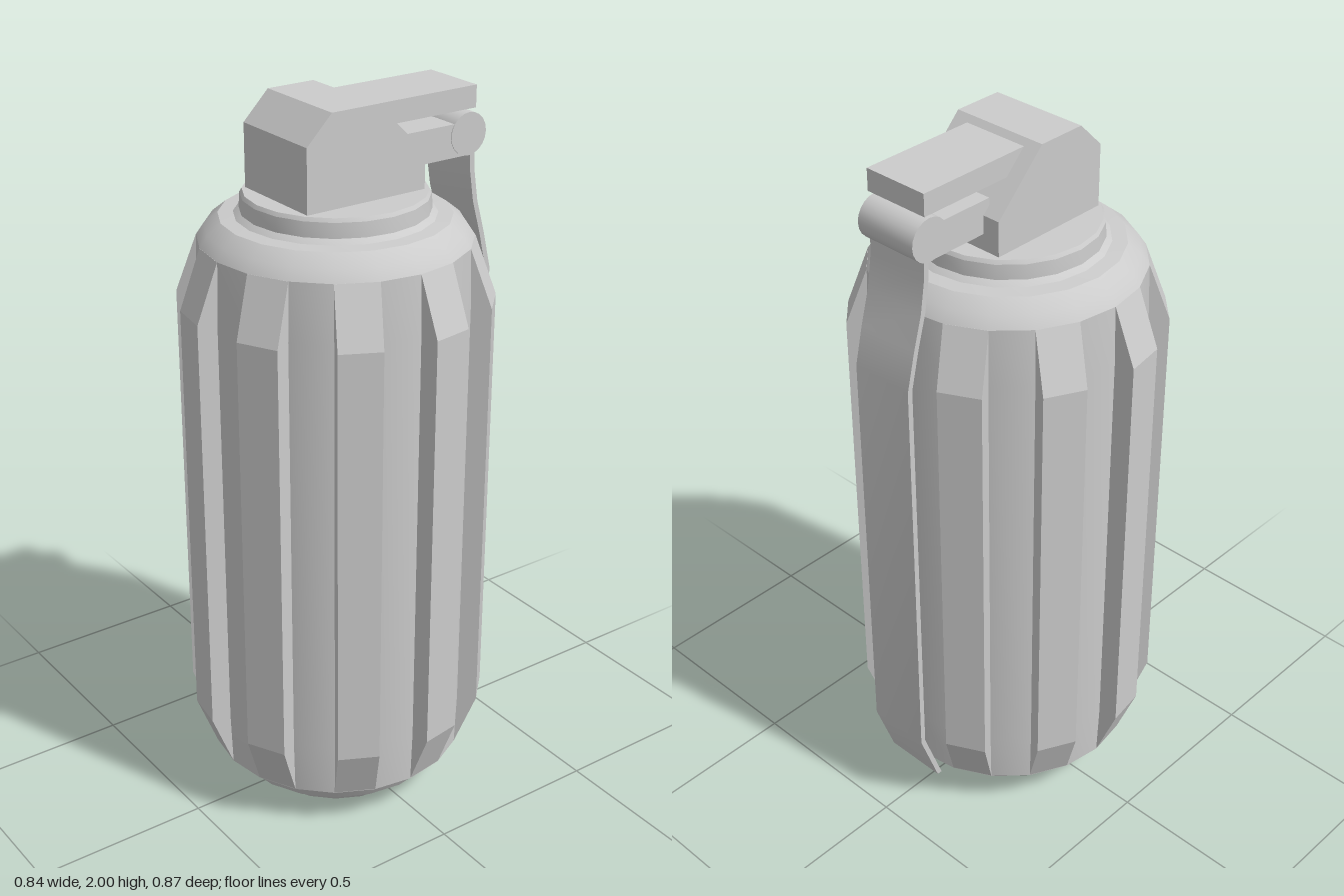
import * as THREE from 'three';
import { toCreasedNormals } from 'three/addons/utils/BufferGeometryUtils.js';

const material = new THREE.MeshStandardMaterial({ color: 0xcccccc });

function part(name, geometry, parent, crease = 0.45) {
  const mesh = new THREE.Mesh(toCreasedNormals(geometry, crease), material);
  mesh.name = name;
  parent.add(mesh);
  return mesh;
}

// Extrudes a closed outline across a width, centred on the outline's plane
function slab(points, width) {
  const shape = new THREE.Shape(points.map(([a, b]) => new THREE.Vector2(a, b)));
  return new THREE.ExtrudeGeometry(shape, { depth: width, bevelEnabled: false })
    .translate(0, 0, -width / 2);
}

// Outline given as (z, y), extruded along x
const sideSlab = (points, width) => slab(points, width).rotateY(-Math.PI / 2);

export function createModel() {
  const model = new THREE.Group();
  model.name = 'ribbedCanister';

  // Turned body with stepped foot and neck
  const barrel = new THREE.Group();
  barrel.name = 'barrel';
  barrel.position.z = 0.015;
  model.add(barrel);
  const profile = [
    [0, 0], [0.238, 0], [0.247, 0.012], [0.247, 0.042], [0.26, 0.053], [0.31, 0.06],
    [0.335, 0.105], [0.362, 0.115], [0.367, 0.27], [0.367, 1.47], [0.362, 1.63],
    [0.342, 1.66], [0.305, 1.69], [0.265, 1.693], [0.25, 1.705], [0.247, 1.745],
    [0.241, 1.755], [0, 1.755],
  ].map(([r, y]) => new THREE.Vector2(r, y));
  part('body', new THREE.LatheGeometry(profile, 20), barrel);

  // Ten ribs standing on every second facet
  const ribOutline = [
    [0.3, 0.117], [0.358, 0.117], [0.417, 0.27], [0.417, 1.47], [0.358, 1.63], [0.3, 1.63],
  ];
  for (let i = 0; i < 10; i++) {
    const rib = part('rib', slab(ribOutline, 0.115), barrel, 0.2);
    rib.rotation.y = THREE.MathUtils.degToRad(9 - 36 * i);
  }

  // Chamfered head block
  part('head', sideSlab([
    [0.2, 1.75], [0.2, 1.925], [0.125, 2], [-0.015, 2], [-0.165, 1.85], [-0.165, 1.75],
  ], 0.28), model);

  // Lever plate, hinge arm and hinge barrel
  const plate = new THREE.BoxGeometry(0.19, 0.06, 0.335).translate(0, 1.955, -0.1975);
  part('leverPlate', plate, model);
  const arm = new THREE.BoxGeometry(0.18, 0.09, 0.2).translate(0, 1.845, -0.245);
  part('hingeArm', arm, model);
  const hinge = new THREE.CylinderGeometry(0.058, 0.058, 0.184, 20)
    .rotateZ(Math.PI / 2).translate(0, 1.857, -0.346);
  part('hinge', hinge, model);

  // Thin strap following the back of the body
  const path = [
    [-0.352, 1.83], [-0.354, 1.76], [-0.368, 1.67], [-0.395, 1.575],
    [-0.42, 1.47], [-0.42, 0.28], [-0.36, 0.11],
  ];
  const outer = path.map(([z, y]) => [z - 0.015, y]).reverse();
  part('strap', sideSlab([...path, ...outer], 0.184), model);

  return model;
}
